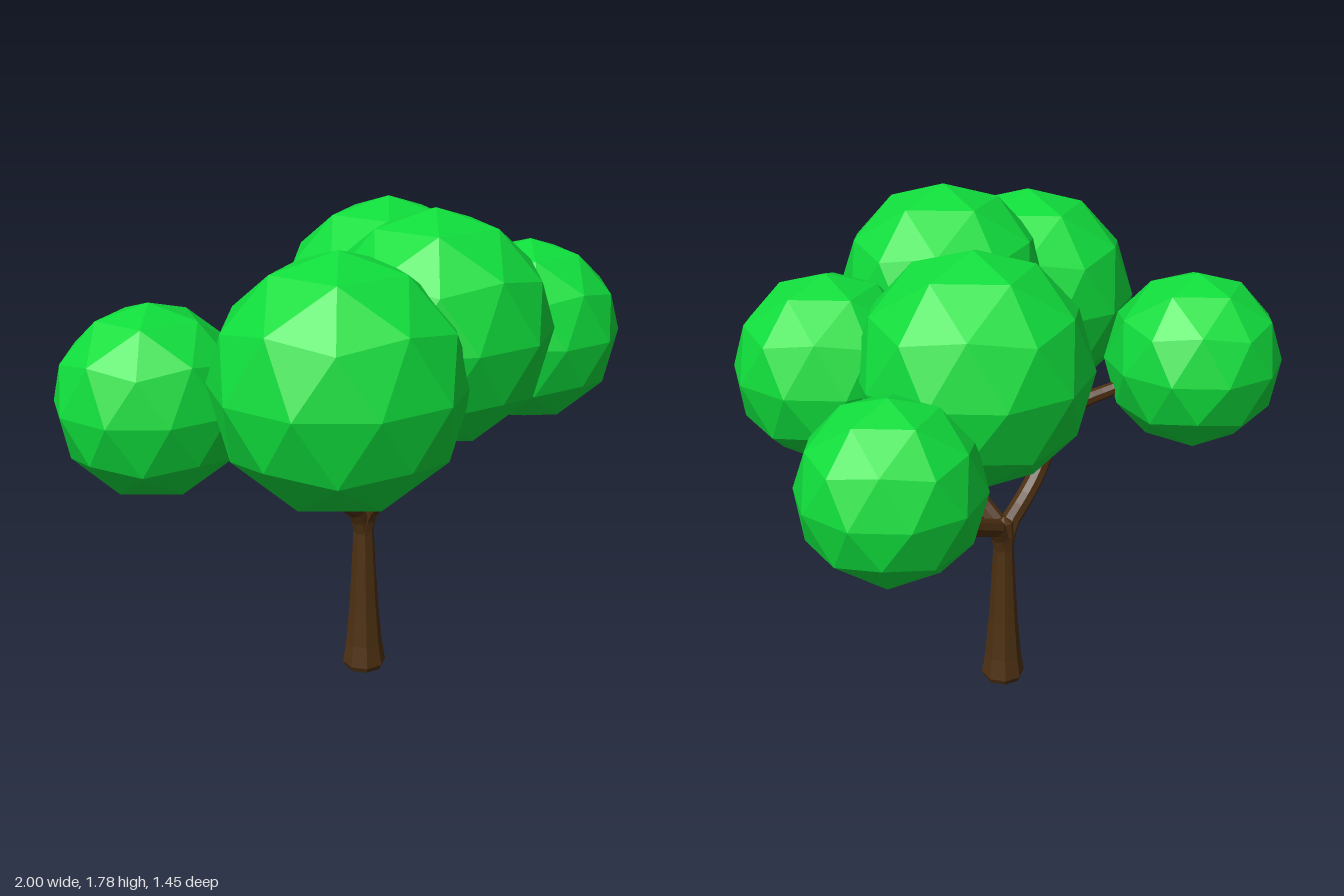
import * as THREE from 'three';

const bark = new THREE.MeshStandardMaterial({ color: 0x4d3012, flatShading: true });
const leaf = new THREE.MeshStandardMaterial({ color: 0x10dd3c, flatShading: true });
const SIDES = 8;
const BASE_Z = -0.066;

// Tube along a path, thinning evenly from radius r0 to r1
function taperedLimb(name, points, r0, r1, segments = 10) {
  const curve = new THREE.CatmullRomCurve3(points.map(p => new THREE.Vector3(...p)));
  const geo = new THREE.TubeGeometry(curve, segments, 1, SIDES, false);
  const pos = geo.attributes.position;
  const v = new THREE.Vector3();
  for (let i = 0; i <= segments; i++) {
    const centre = curve.getPointAt(i / segments);
    const r = THREE.MathUtils.lerp(r0, r1, i / segments);
    for (let j = 0; j <= SIDES; j++) {
      const k = i * (SIDES + 1) + j;
      v.fromBufferAttribute(pos, k).sub(centre).multiplyScalar(r).add(centre);
      pos.setXYZ(k, v.x, v.y, v.z);
    }
  }
  geo.computeVertexNormals();
  const mesh = new THREE.Mesh(geo, bark);
  mesh.name = name;
  return mesh;
}

export function createModel() {
  const tree = new THREE.Group();
  tree.name = 'tree';

  // Trunk: flared foot, slim neck, closed at both ends
  const profile = [[0, 0], [0.07, 0], [0.08, 0.02], [0.067, 0.1], [0.054, 0.25],
    [0.045, 0.4], [0.038, 0.54], [0.04, 0.6], [0.034, 0.65], [0, 0.67]];
  const trunk = new THREE.Mesh(
    new THREE.LatheGeometry(profile.map(p => new THREE.Vector2(...p)), SIDES), bark);
  trunk.name = 'trunk';
  trunk.position.set(-0.01, 0, BASE_Z);
  tree.add(trunk);

  // Three main limbs, each forking towards two crowns
  const limbs = [
    ['leftLimb', [[-0.01, 0.54, BASE_Z], [-0.04, 0.63, BASE_Z], [-0.12, 0.69, BASE_Z],
      [-0.2, 0.77, -0.07], [-0.26, 0.89, -0.085], [-0.32, 0.98, -0.1]], 0.036, 0.03],
    ['leftBackFork', [[-0.3, 0.95, -0.095], [-0.36, 1.01, -0.13], [-0.46, 1.05, -0.2],
      [-0.58, 1.1, -0.3]], 0.03, 0.022],
    ['leftFrontFork', [[-0.3, 0.95, -0.095], [-0.34, 1.02, -0.05], [-0.38, 1.09, 0.04],
      [-0.46, 1.17, 0.14]], 0.03, 0.022],
    ['frontLimb', [[-0.01, 0.54, BASE_Z], [-0.005, 0.63, -0.045], [0, 0.7, 0.03],
      [0.01, 0.78, 0.1], [0.02, 0.9, 0.145], [0.03, 1.02, 0.19]], 0.036, 0.034],
    ['frontLeftFork', [[0.03, 0.99, 0.18], [-0.01, 1.06, 0.21], [-0.08, 1.09, 0.25],
      [-0.14, 1.2, 0.3]], 0.032, 0.022],
    ['frontRightFork', [[0.03, 0.99, 0.18], [0.08, 1.06, 0.21], [0.15, 1.11, 0.25],
      [0.26, 1.2, 0.3]], 0.032, 0.022],
    ['rightLimb', [[-0.01, 0.54, BASE_Z], [0.02, 0.63, BASE_Z], [0.1, 0.67, BASE_Z],
      [0.2, 0.72, -0.07], [0.27, 0.82, -0.08], [0.34, 0.94, -0.09]], 0.036, 0.03],
    ['rightOuterFork', [[0.32, 0.91, -0.088], [0.38, 0.97, -0.11], [0.48, 0.99, -0.15],
      [0.6, 1.03, -0.18]], 0.03, 0.022],
    ['rightInnerFork', [[0.32, 0.91, -0.088], [0.36, 0.98, -0.1], [0.35, 1.06, -0.12],
      [0.31, 1.16, -0.13]], 0.03, 0.022],
  ];
  for (const limb of limbs) tree.add(taperedLimb(...limb));

  // Crowns: faceted balls turned so that a corner points straight up
  const ball = new THREE.IcosahedronGeometry(1, 1);
  ball.rotateZ(-Math.atan(2 / (1 + Math.sqrt(5))));
  const crowns = [
    ['backLeftCrown', -0.693, 1.153, -0.404, 0.323],
    ['frontLeftCrown', -0.575, 1.298, 0.268, 0.403],
    ['topCrown', -0.18, 1.4, 0.343, 0.38],
    ['backRightCrown', 0.247, 1.326, -0.14, 0.394],
    ['frontRightCrown', 0.416, 1.273, 0.342, 0.322],
    ['farRightCrown', 0.716, 1.093, -0.2, 0.298],
  ];
  for (const [name, x, y, z, r] of crowns) {
    const crown = new THREE.Mesh(ball, leaf);
    crown.name = name;
    crown.position.set(x, y, z);
    crown.scale.setScalar(r);
    tree.add(crown);
  }
  return tree;
}
